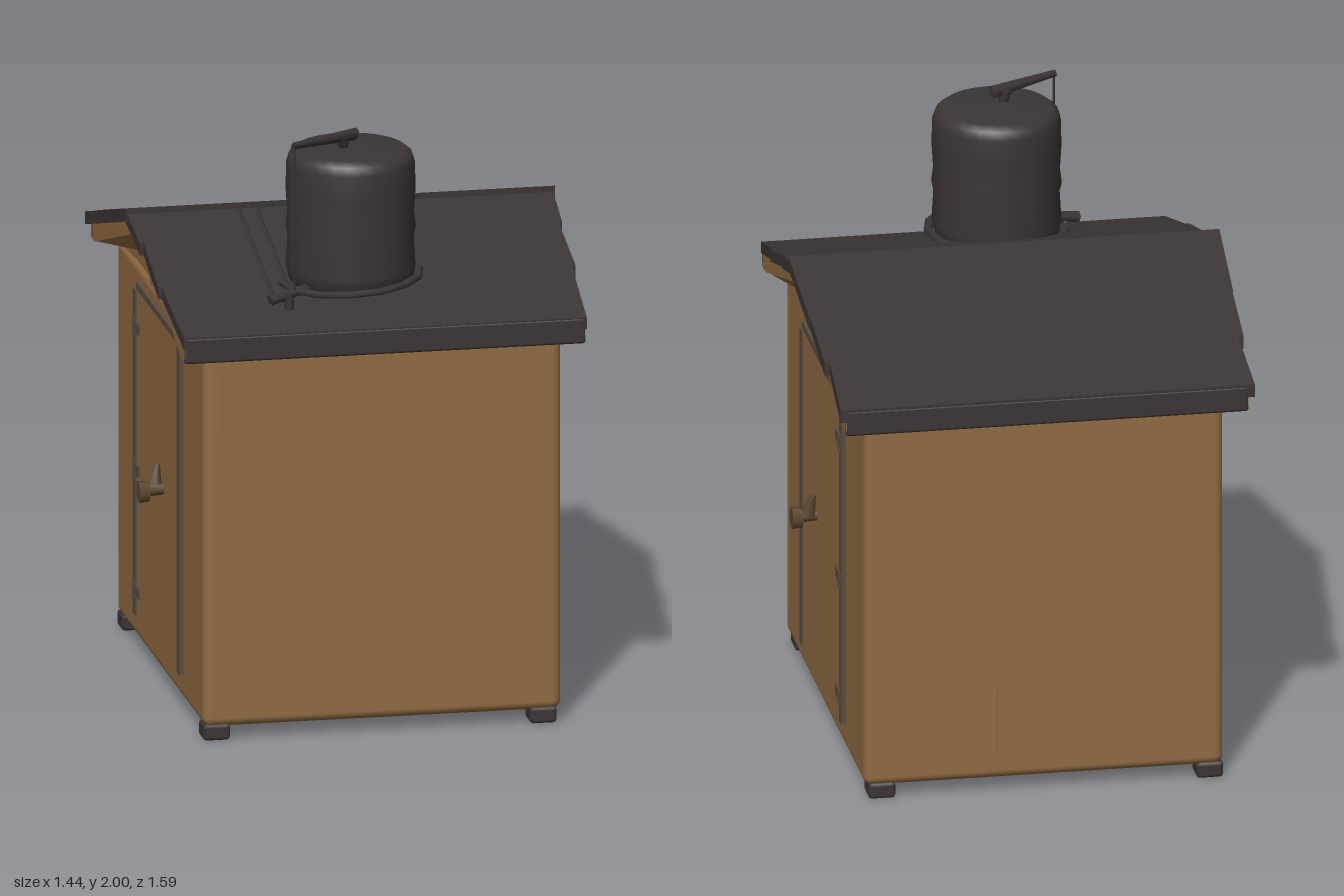
import * as THREE from 'three';
import { RoundedBoxGeometry } from 'three/addons/geometries/RoundedBoxGeometry.js';

const paint = (name, color) => {
  const m = new THREE.MeshStandardMaterial({ color });
  m.name = name;
  return m;
};

export function createModel() {
  const wood = paint('wood', 0x916b42);
  const dark = paint('darkRoof', 0x3c3535);
  const strip = paint('stripGrey', 0x5b4d40);
  const brass = paint('handleBrown', 0x5c4832);
  const root = new THREE.Group();

  const add = (name, geo, mat, x = 0, y = 0, z = 0, parent = root) => {
    const m = new THREE.Mesh(geo, mat);
    m.name = name;
    m.position.set(x, y, z);
    parent.add(m);
    return m;
  };
  const box = (name, mat, w, h, d, x, y, z, parent) =>
    add(name, new THREE.BoxGeometry(w, h, d), mat, x, y, z, parent);

  // Extrudes a (z, y) outline along x; halfWidth(z, y) sets how far each point reaches
  const prism = (pts, halfWidth) => {
    const s = new THREE.Shape(pts.map(p => new THREE.Vector2(p[0], p[1])));
    const geo = new THREE.ExtrudeGeometry(s, { depth: 2, bevelEnabled: false })
      .translate(0, 0, -1).rotateY(-Math.PI / 2);
    const p = geo.attributes.position;
    for (let i = 0; i < p.count; i++) p.setX(i, p.getX(i) * halfWidth(p.getZ(i), p.getY(i)));
    geo.computeVertexNormals();
    return geo;
  };
  // Straight tapered bar between two points
  const bar = (name, mat, a, b, r0, r1, sides = 6, parent = root) => {
    const p = new THREE.Vector3(...a), q = new THREE.Vector3(...b);
    const m = add(name, new THREE.CylinderGeometry(r1, r0, p.distanceTo(q), sides), mat, 0, 0, 0, parent);
    m.position.copy(p).lerp(q, 0.5);
    m.quaternion.setFromUnitVectors(new THREE.Vector3(0, 1, 0), q.sub(p).normalize());
    return m;
  };

  // Body and gable ends
  add('body', new RoundedBoxGeometry(1.2, 1.28, 1.472, 3, 0.03), wood, -0.005, 0.685, 0);
  add('gable', prism([[-0.72, 1.3], [0.72, 1.3], [0.72, 1.36], [0, 1.57], [-0.72, 1.36]], () => 0.592), wood);

  // Feet
  for (const x of [-0.56, 0.535]) for (const z of [-0.69, 0.69])
    add('foot', new RoundedBoxGeometry(0.09, 0.055, 0.095, 1, 0.012), dark, x, 0.0275, z);

  // Roof: each slope has overlapping courses with uneven ends
  const top = z => 1.622 - 0.286 * z;
  const slope = (name, turn, courses) => {
    const g = new THREE.Group();
    g.name = name;
    g.rotation.y = turn;
    g.position.x = -0.007;
    root.add(g);
    for (const [z0, z1, w0, w1, lift] of courses)
      add('roofCourse', prism([[z0, top(z0) - 0.04], [z1, top(z1) - 0.04],
        [z1, top(z1) + lift], [z0, top(z0) + lift]],
      z => w0 + (w1 - w0) * (z - z0) / (z1 - z0)), dark, 0, 0, 0, g);
    // Wooden underlayer, eave board, barge boards and the cove under them
    add('roofUnderside', prism([[0, 1.54], [0.765, 1.325], [0.765, top(0.765) - 0.035],
      [0, top(0) - 0.035]], () => 0.65), wood, 0, 0, 0, g);
    add('eaveBoard', new RoundedBoxGeometry(1.345, 0.09, 0.03, 2, 0.01), dark, 0, 1.35, 0.779, g);
    add('bargeBoards', prism([[0, 1.54], [0.73, 1.312], [0.772, 1.308], [0.79, 1.325],
      [0.79, top(0.79) - 0.03], [0, top(0) - 0.03]], () => 0.672), wood, 0, 0, 0, g);
    add('gableCove', prism([[0, 1.46], [0.46, 1.325], [0.72, 1.305], [0.73, 1.313], [0, 1.541]],
      (z, y) => (y > 1.5 || z > 0.725 ? 0.668 : 0.59)), wood, 0, 0, 0, g);
  };
  slope('frontRoof', 0, [[0, 0.21, 0.715, 0.708, 0], [0.2, 0.48, 0.695, 0.7, 0.001],
    [0.46, 0.793, 0.688, 0.675, 0]]);
  slope('backRoof', Math.PI, [[-0.03, 0.29, 0.72, 0.708, 0.004], [0.28, 0.54, 0.705, 0.7, 0.005],
    [0.53, 0.793, 0.682, 0.692, 0.004]]);
  // Roof seams beside the tank
  for (const x of [-0.35, -0.29])
    bar('roofSeam', dark, [x, top(0.03) - 0.003, 0.03], [x + 0.01, top(0.6) - 0.003, 0.6], 0.008, 0.008);

  // Doors, one on each side, mirrored in x
  for (const s of [1, -1]) {
    const g = new THREE.Group();
    g.name = s > 0 ? 'leftDoor' : 'rightDoor';
    g.position.x = s > 0 ? 0 : -0.009;
    root.add(g);
    const plate = (name, mat, t, h, d, y, z, x) => box(name, mat, t, h, d, s * x, y, z, g);
    plate('doorPanel', wood, 0.03, 1.13, 0.72, 0.695, 0.005, 0.591);
    plate('frontDoorStrip', strip, 0.03, 1.11, 0.05, 0.69, 0.373, 0.596);
    plate('hingeStrip', strip, 0.03, 1.11, 0.046, 0.69, -0.368, 0.596);
    plate('topDoorStrip', strip, 0.03, 0.022, 0.7, 1.265, 0.005, 0.594);
    for (const y of [0.225, 0.64, 1.125]) {
      plate('hinge', strip, 0.03, 0.036, 0.1, y, -0.335, 0.598);
      add('hingeKnuckle', new THREE.CylinderGeometry(0.011, 0.011, 0.06, 8), strip, s * 0.607, y, -0.362, g);
    }
    // Handle: stem, flared end and a latch prong
    bar('handleStem', brass, [s * 0.59, 0.69, 0.1], [s * 0.67, 0.69, 0.1], 0.018, 0.024, 8, g);
    bar('handleKnob', brass, [s * 0.655, 0.685, 0.103], [s * 0.69, 0.685, 0.103], 0.034, 0.038, 6, g);
    bar('handleProng', brass, [s * 0.635, 0.7, 0.09], [s * 0.622, 0.77, 0.075], 0.026, 0.01, 5, g);
    // Plank ridges
    plate('plankRidge', wood, 0.003, 1.1, 0.003, 0.69, 0.685, 0.594);
    plate('plankRidge', wood, 0.003, 1.0, 0.003, 0.65, -0.68, 0.594);
    // Gable king post, wider at its head
    add('kingPost', prism([[-0.02, 1.36], [0.02, 1.36], [0.05, 1.55], [-0.05, 1.55]],
      (z, y) => (y > 1.5 ? 0.025 : 0.012)), wood, s * 0.615, 0, 0, g);
  }

  // Raised plank edges on the front and back walls: x, y, width, height
  const ridges = [[0.25, 1.06, 0.003, 0.38], [0.345, 1.12, 0.003, 0.24], [0.42, 0.13, 0.16, 0.003],
    [0.5, 0.25, 0.003, 0.24], [0.35, 0.27, 0.003, 0.2], [0.24, 0.28, 0.003, 0.14], [-0.15, 0.25, 0.003, 0.23],
    [-0.54, 1.14, 0.003, 0.2], [-0.44, 1.24, 0.2, 0.003], [0.42, 1.24, 0.16, 0.003]];
  for (const s of [1, -1]) for (const [x, y, w, h] of ridges)
    box('plankRidge', wood, w, h, 0.003, s * x, y, s * 0.736);

  // Water tank
  const cx = -0.066, cz = 0.5;
  const profile = [[0, 1.48], [0.19, 1.48], [0.205, 1.5], [0.214, 1.54], [0.208, 1.64], [0.215, 1.67],
    [0.209, 1.72], [0.214, 1.8], [0.212, 1.89], [0.203, 1.918], [0.18, 1.936], [0, 1.945]];
  add('tank', new THREE.LatheGeometry(profile.map(p => new THREE.Vector2(...p)), 28), dark, cx, 0, cz);
  const ring = add('tankBaseRing', new THREE.TorusGeometry(0.228, 0.016, 6, 14)
    .rotateX(Math.PI / 2).scale(1, 0.7, 1), dark, cx, 1.497, cz);
  ring.rotation.z = 0.06;

  // Flat arm over the tank, feed pipe and bracket
  const arm = bar('tankArm', dark, [-0.05, 1.982, 0.505], [-0.285, 1.987, 0.63], 0.024, 0.013, 6);
  arm.scale.z = 0.7;
  bar('armPost', dark, [-0.09, 1.93, 0.52], [-0.1, 1.98, 0.525], 0.012, 0.024, 6);
  bar('feedPipe', dark, [-0.28, 1.985, 0.63], [-0.28, 1.48, 0.63], 0.004, 0.004);
  bar('bracket', dark, [-0.365, 1.47, 0.645], [-0.2, 1.5, 0.6], 0.02, 0.014, 5);
  bar('bracketLeg', dark, [-0.3, 1.42, 0.645], [-0.3, 1.49, 0.645], 0.016, 0.016, 6);

  return root;
}
